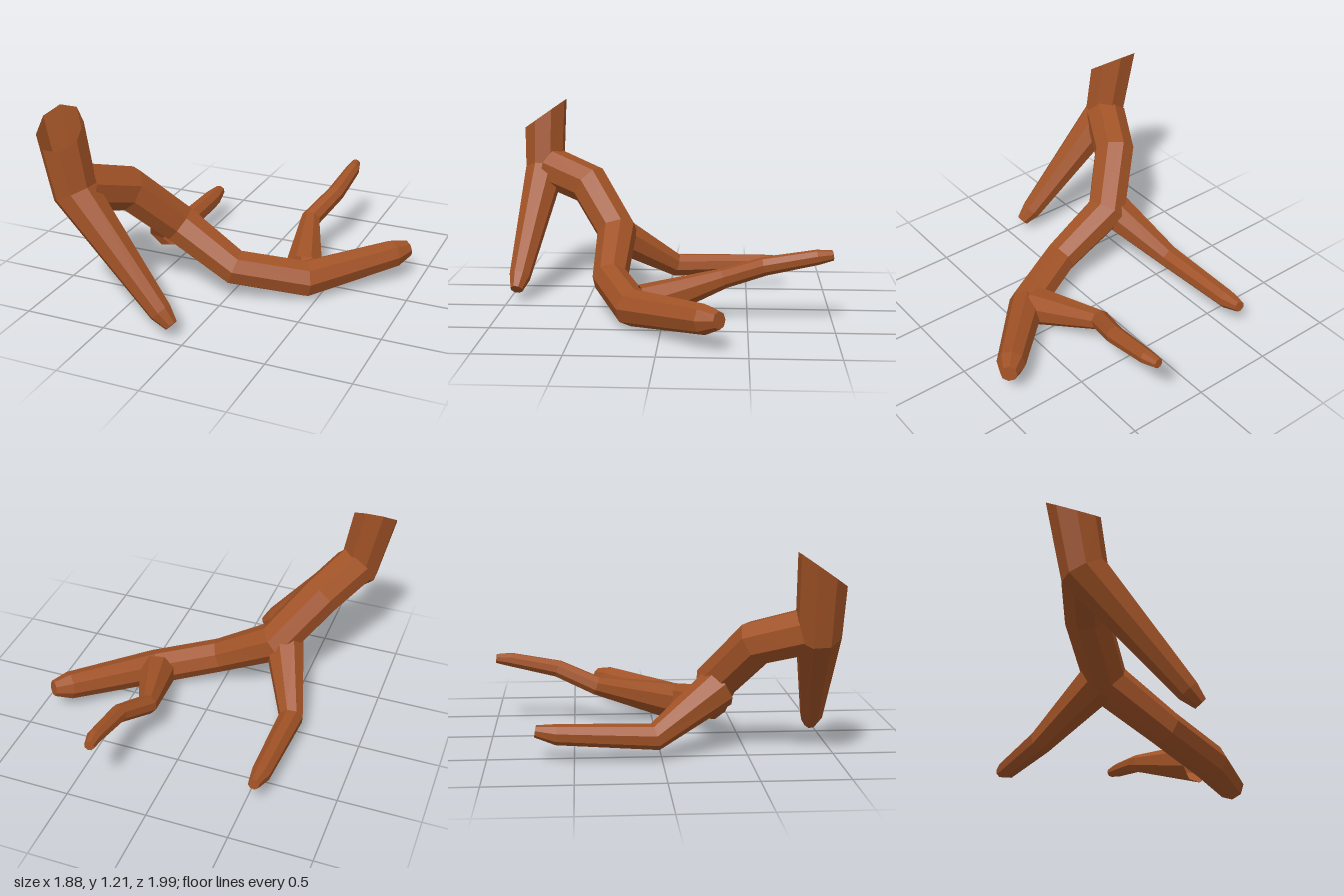
import * as THREE from 'three';

const SIDES = 8;

// Sweeps an octagon along a bent path of [x, y, z, radius]; joints are mitred.
// The far end is closed; the near end stays open, cut along startNormal if given.
function limb(path, startNormal) {
  const c = path.map(p => new THREE.Vector3(p[0], p[1], p[2]));
  const dirs = c.slice(1).map((p, i) => p.clone().sub(c[i]).normalize());
  const u = new THREE.Vector3(0, 1, 0).cross(dirs[0]).normalize();
  const v = dirs[0].clone().cross(u);
  const rings = [];
  c.forEach((centre, i) => {
    const d = dirs[Math.max(i - 1, 0)];
    const next = dirs[Math.min(i, dirs.length - 1)];
    let n = d.clone().add(next).normalize();
    if (i === 0 && startNormal) n = startNormal.clone().normalize();
    const ring = [];
    for (let k = 0; k < SIDES; k++) {
      const a = ((k + 0.5) / SIDES) * Math.PI * 2;
      const off = u.clone().multiplyScalar(Math.cos(a)).addScaledVector(v, Math.sin(a));
      off.multiplyScalar(path[i][3]);
      off.addScaledVector(d, -off.dot(n) / d.dot(n)); // slide onto the mitre plane
      ring.push(off.add(centre));
    }
    rings.push(ring);
    // carry the frame round the bend
    const turn = new THREE.Quaternion().setFromUnitVectors(d, next);
    u.applyQuaternion(turn);
    v.applyQuaternion(turn);
  });

  const points = [];
  for (let i = 0; i < rings.length - 1; i++) {
    for (let k = 0; k < SIDES; k++) {
      const m = (k + 1) % SIDES;
      const [a, b, e, f] = [rings[i][k], rings[i][m], rings[i + 1][m], rings[i + 1][k]];
      points.push(a, b, e, a, e, f);
    }
  }
  const last = rings[rings.length - 1];
  for (let k = 0; k < SIDES; k++) {
    points.push(c[c.length - 1], last[k], last[(k + 1) % SIDES]);
  }
  const geometry = new THREE.BufferGeometry().setFromPoints(points);
  geometry.computeVertexNormals();
  return geometry;
}

export function createModel() {
  const group = new THREE.Group();
  const bark = new THREE.MeshStandardMaterial({
    color: 0xa05226, flatShading: true, side: THREE.DoubleSide,
  });
  bark.name = 'reddish brown';

  const add = (name, path, startNormal) => {
    const mesh = new THREE.Mesh(limb(path, startNormal), bark);
    mesh.name = name;
    group.add(mesh);
  };

  // hollow, slanted stump running down into the front prong
  add('stumpAndFrontProng', [
    [-0.8, 1.115, 0.85, 0.14],
    [-0.725, 0.745, 0.85, 0.13],
    [-0.16, 0.14, 0.935, 0.068],
    [-0.09, 0.075, 0.945, 0.04],
  ], new THREE.Vector3(0, 0.245, 0.17));

  // main stem curving down and round to the left prong
  add('mainStem', [
    [-0.7, 0.76, 0.8, 0.135],
    [-0.56, 0.67, 0.53, 0.13],
    [-0.34, 0.4, 0.33, 0.125],
    [0.03, 0.185, 0.34, 0.108],
    [0.42, 0.107, 0.17, 0.11],
    [0.83, 0.16, -0.26, 0.086],
    [0.9, 0.175, -0.34, 0.05],
  ]);

  // right rear prong
  add('rightRearProng', [
    [-0.4, 0.38, 0.34, 0.125],
    [-0.57, 0.135, -0.04, 0.075],
    [-0.56, 0.155, -0.6, 0.06],
    [-0.555, 0.175, -0.72, 0.035],
  ]);

  // left rear prong
  add('leftRearProng', [
    [0.38, 0.12, 0.1, 0.12],
    [0.25, 0.25, -0.36, 0.06],
    [0.33, 0.345, -0.6, 0.055],
    [0.345, 0.405, -0.9, 0.045],
    [0.335, 0.415, -0.99, 0.03],
  ]);

  return group;
}
